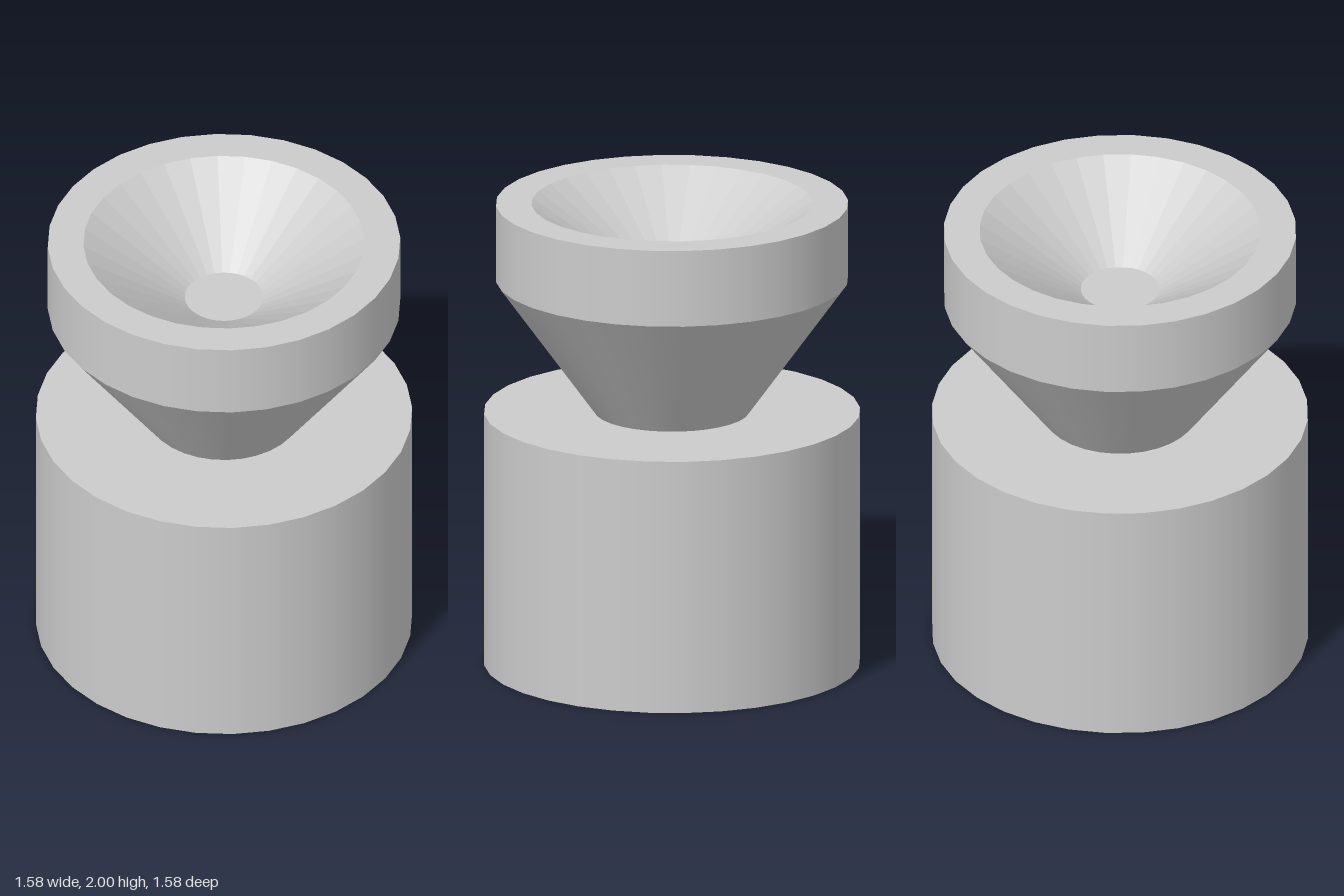
import * as THREE from 'three';

const SIDES = 32;

export function createModel() {
  const group = new THREE.Group();
  const smooth = new THREE.MeshStandardMaterial({ color: 0xcccccc });
  const faceted = new THREE.MeshStandardMaterial({
    color: 0xcccccc, flatShading: true, side: THREE.DoubleSide,
  });

  function add(name, geometry, material, y = 0) {
    const mesh = new THREE.Mesh(geometry, material);
    mesh.name = name;
    mesh.position.y = y;
    group.add(mesh);
  }
  const tube = (top, bottom, height, open) =>
    new THREE.CylinderGeometry(top, bottom, height, SIDES, 1, open);

  // Solid round base
  add('base', tube(0.79, 0.79, 1.095, false), smooth, 0.5475);

  // Flared outer wall and the straight band above it
  add('flare', tube(0.74, 0.325, 0.575, true), smooth, 1.3825);
  add('band', tube(0.74, 0.74, 0.33, true), smooth, 1.835);

  // Flat rim, sloping hollow and its small flat floor
  const hollow = [[0.74, 2], [0.59, 2], [0.165, 1.71], [0, 1.71]]
    .map(([r, y]) => new THREE.Vector2(r, y));
  add('rimAndHollow', new THREE.LatheGeometry(hollow, SIDES), faceted);

  return group;
}
